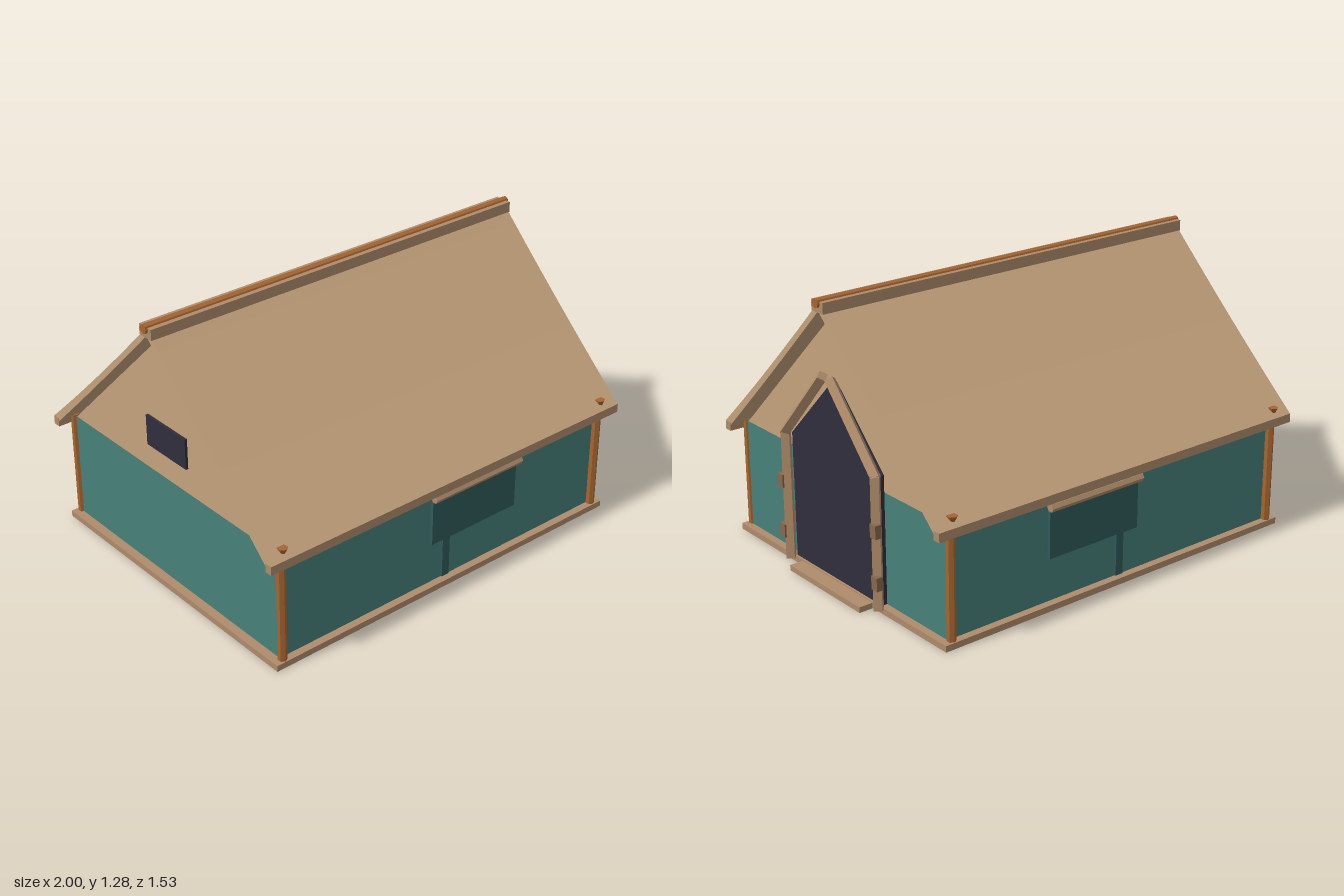
import * as THREE from 'three';

const mat = (color, extra = {}) => new THREE.MeshStandardMaterial({ color, flatShading: true, ...extra });
const canvas = mat(0xc4a27c);
const teal = mat(0x478079);
const darkTeal = mat(0x2f5a5a);
const floorTeal = mat(0x2f5653);
const wood = mat(0xae8c6a);
const darkWood = mat(0x87694c);
const pole = mat(0xa5652f);
const dark = mat(0x302e3c);

export function createModel() {
  const model = new THREE.Group();

  const add = (name, geometry, material) => {
    const mesh = new THREE.Mesh(geometry, material);
    mesh.name = name;
    model.add(mesh);
    return mesh;
  };

  // Box given by its extents on each axis
  const box = (name, material, [x0, x1], [y0, y1], [z0, z1]) =>
    add(name, new THREE.BoxGeometry(x1 - x0, y1 - y0, z1 - z0), material)
      .position.set((x0 + x1) / 2, (y0 + y1) / 2, (z0 + z1) / 2);

  // Straight bar between two points
  const bar = (name, material, a, b, radius, sides) => {
    const from = new THREE.Vector3(...a), to = new THREE.Vector3(...b);
    const dir = to.clone().sub(from);
    const mesh = add(name, new THREE.CylinderGeometry(radius, radius, dir.length(), sides), material);
    mesh.position.copy(from).add(to).multiplyScalar(0.5);
    mesh.quaternion.setFromUnitVectors(new THREE.Vector3(0, 1, 0), dir.normalize());
  };

  // Outline of [z, y] points extruded along x
  const slab = (name, material, points, x0, x1) => {
    const shape = new THREE.Shape(points.map(([z, y]) => new THREE.Vector2(-z, y)));
    const geometry = new THREE.ExtrudeGeometry(shape, { depth: x1 - x0, bevelEnabled: false });
    add(name, geometry.rotateY(Math.PI / 2).translate(x0, 0, 0), material);
  };

  // Floor and base rails
  box('floor', floorTeal, [-0.935, 0.92], [0, 0.025], [-0.73, 0.73]);
  for (const s of [-1, 1]) box('sideRail', wood, [-0.95, 0.935], [0.002, 0.03], [s * 0.725 - 0.02, s * 0.725 + 0.02]);
  box('backRail', wood, [-0.95, -0.91], [0.002, 0.03], [-0.705, 0.705]);
  box('frontRail', wood, [0.895, 0.935], [0.002, 0.03], [-0.705, 0.705]);
  box('doorStep', wood, [0.93, 1], [0, 0.025], [-0.255, 0.255]);

  // Fabric walls and gable ends
  box('walls', teal, [-0.91, 0.9], [0.025, 0.525], [-0.71, 0.71]);
  for (const x of [-0.91, 0.89]) {
    slab('gable', canvas, [[-0.7, 0.525], [0.7, 0.525], [0, 1.2]], x, x + 0.01);
  }
  box('vent', dark, [-0.922, -0.91], [0.645, 0.785], [-0.135, 0.135]);

  // Both long sides are the same
  for (const s of [-1, 1]) {
    // Roof panel with a slight sag
    const steps = 10, top = [], under = [];
    for (let i = 0; i <= steps; i++) {
      const t = i / steps, sag = 0.04 * t * (1 - t);
      top.push([s * 0.765 * t, 1.255 - 0.725 * t - sag]);
      under.push([s * 0.735 * t, 1.22 - 0.71 * t - sag * 0.5]);
    }
    slab('roofPanel', canvas, [...top, ...under.reverse()], -0.985, 0.975);
    box('eaveBar', wood, [-0.986, 0.976], [0.49, 0.53], [s * 0.747 - 0.018, s * 0.747 + 0.018]);

    for (const x of [-0.905, 0.89]) {
      bar('cornerPost', pole, [x, 0.025, s * 0.722], [x, 0.53, s * 0.722], 0.02, 6);
      const stud = add('roofStud', new THREE.CylinderGeometry(0.023, 0.012, 0.026, 6), pole);
      stud.position.set(x, 0.557, s * 0.734);
    }

    // Window with rolled blind and the seam strip below
    box('window', darkTeal, [-0.1, 0.385], [0.225, 0.43], [s * 0.716 - 0.008, s * 0.716 + 0.008]);
    box('wallSeam', darkTeal, [-0.03, 0.01], [0.03, 0.49], [s * 0.711 - 0.005, s * 0.711 + 0.005]);
    bar('rolledBlind', wood, [-0.105, 0.459, s * 0.735], [0.395, 0.459, s * 0.735], 0.02, 6);

    // Door frame half with hinges
    bar('doorPost', wood, [0.95, 0.025, s * 0.32], [0.95, 0.615, s * 0.32], 0.026, 4);
    bar('doorRafter', wood, [0.95, 0.605, s * 0.325], [0.95, 0.935, s * 0.025], 0.026, 4);
    for (const y of [0.155, 0.385]) {
      box('hinge', darkWood, [0.95, 0.98], [y - 0.03, y + 0.03], [s * 0.335 - 0.019, s * 0.335 + 0.019]);
    }
  }

  // Dark doorway
  slab('doorway', dark, [[-0.31, 0.03], [0.31, 0.03], [0.31, 0.6], [0, 0.91], [-0.31, 0.6]], 0.9, 0.925);

  // Ridge beam and pole
  box('ridgeBeam', wood, [-0.99, 0.98], [1.215, 1.263], [-0.04, 0.04]);
  bar('ridgePole', pole, [-1, 1.255, 0], [0.99, 1.255, 0], 0.021, 8);

  return model;
}
